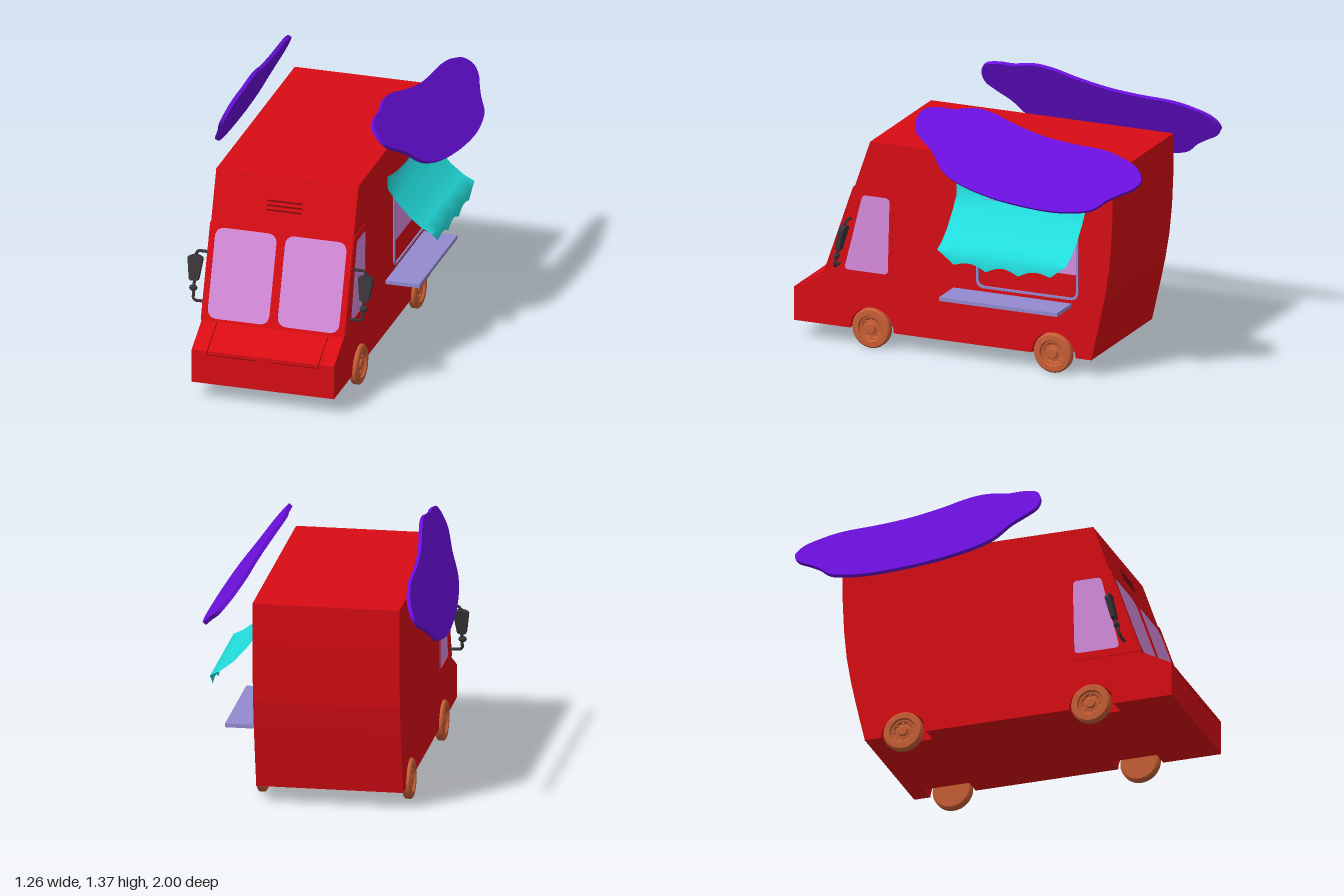
import * as THREE from 'three';

const mat = (color, side = THREE.FrontSide) => new THREE.MeshStandardMaterial({ color, side });
const RED = mat(0xd80c14), SEAM = mat(0x7a060a), GLASS = mat(0xd68cdc), LILAC = mat(0x938ad0);
const PURPLE = mat(0x6a0fdc), TEAL = mat(0x22dcdc, THREE.DoubleSide), ORANGE = mat(0xc85f35), DARK = mat(0x3a3438);
const HALF = 0.38; // half width of the body

function add(parent, name, geometry, material, x = 0, y = 0, z = 0) {
  const mesh = new THREE.Mesh(geometry, material);
  mesh.name = name;
  mesh.position.set(x, y, z);
  parent.add(mesh);
  return mesh;
}

// Closed polygon with rounded corners
function rounded(points, r, Type = THREE.Shape) {
  const path = new Type();
  const p = points.map(([x, y]) => new THREE.Vector2(x, y));
  p.forEach((c, i) => {
    const prev = p[(i + p.length - 1) % p.length], next = p[(i + 1) % p.length];
    const a = c.clone().add(prev.clone().sub(c).setLength(r));
    const b = c.clone().add(next.clone().sub(c).setLength(r));
    if (i === 0) path.moveTo(a.x, a.y); else path.lineTo(a.x, a.y);
    path.quadraticCurveTo(c.x, c.y, b.x, b.y);
  });
  path.closePath();
  return path;
}
const rect = (x0, x1, y0, y1) => [[x0, y0], [x1, y0], [x1, y1], [x0, y1]];
const extrude = (shape, depth) => new THREE.ExtrudeGeometry(shape, { depth, bevelEnabled: false, curveSegments: 12 });
// Shape drawn in (z, y), thickness centred across x
const sideways = (shape, depth) => extrude(shape, depth).translate(0, 0, -depth / 2).rotateY(-Math.PI / 2);

const WHEEL_Z = [0.565, -0.45];

function bodyShape(arches) {
  const s = new THREE.Shape();
  s.moveTo(1, 0.09);
  [[1, 0.27], [0.83, 0.36], [0.575, 1.1], [-0.78, 1.1], [-0.78, 0.9], [-0.772, 0.72],
    [-0.758, 0.57], [-0.735, 0.43], [-0.71, 0.31], [-0.66, 0.09]].forEach(([z, y]) => s.lineTo(z, y));
  if (arches) [...WHEEL_Z].reverse().forEach(z => {
    s.lineTo(z - 0.122, 0.09);
    s.absarc(z, 0.09, 0.122, Math.PI, 0, true);
  });
  s.closePath();
  return s;
}

function buildBody(g) {
  // Core and two outer layers with wheel wells
  add(g, 'bodyCore', sideways(bodyShape(false), 0.56), RED);
  for (const s of [-1, 1]) add(g, 'bodySide', sideways(bodyShape(true), 0.1), RED, s * 0.33);

  // Windscreen frame and panes, lying on the sloped front
  const front = new THREE.Group();
  front.name = 'windscreen';
  front.position.set(0, 0.36, 0.83);
  front.rotation.x = -Math.atan2(0.255, 0.74);
  g.add(front);
  const frame = rounded(rect(-HALF - 0.003, HALF + 0.003, 0, 0.513), 0.01);
  for (const s of [-1, 1]) {
    const pane = rect(s > 0 ? 0.022 : -0.352, s > 0 ? 0.352 : -0.022, 0.017, 0.486);
    frame.holes.push(rounded(pane, 0.055, THREE.Path));
    add(front, 'windscreenPane', extrude(rounded(pane, 0.055), 0.003), GLASS);
  }
  add(front, 'windscreenFrame', extrude(frame, 0.007), RED);
  for (let i = 0; i < 3; i++)
    add(front, 'vent', new THREE.BoxGeometry(0.185, 0.008, 0.008), SEAM, 0, 0.605 + i * 0.024, 0);

  // Hood seam lines
  for (const s of [-1, 1]) {
    const pts = [[0.297, 0.357, 0.836], [0.297, 0.27, 1], [0.297, 0.255, 1], [0.285, 0.25, 1], [0.035, 0.25, 1]];
    const path = new THREE.CurvePath();
    for (let i = 1; i < pts.length; i++)
      path.add(new THREE.LineCurve3(...[pts[i - 1], pts[i]].map(([x, y, z]) => new THREE.Vector3(s * x, y, z))));
    add(g, 'hoodSeam', new THREE.TubeGeometry(path, 40, 0.002, 5), SEAM);
  }

  // Cab side windows with frames
  const win = [[0.72, 0.4], [0.618, 0.81], [0.465, 0.81], [0.475, 0.4]];
  for (const s of [-1, 1]) {
    const sideFrame = rounded([[0.825, 0.36], [0.662, 0.845], [0.44, 0.845], [0.46, 0.36]], 0.025);
    sideFrame.holes.push(rounded(win, 0.025, THREE.Path));
    add(g, 'sideWindowFrame', sideways(sideFrame, 0.008), RED, s * HALF);
    add(g, 'sideWindowPane', sideways(rounded(win, 0.025), 0.004), GLASS, s * HALF);
  }
}

function buildHatch(g) {
  // Service window, counter and awning on the left side
  const outer = rounded(rect(-0.59, -0.02, 0.4, 0.88), 0.045);
  outer.holes.push(rounded(rect(-0.578, -0.032, 0.412, 0.868), 0.04, THREE.Path));
  add(g, 'serviceWindowFrame', sideways(outer, 0.016), LILAC, HALF);
  add(g, 'serviceWindowPane', sideways(rounded(rect(-0.579, -0.031, 0.535, 0.869), 0.01), 0.006), GLASS, HALF);
  add(g, 'counter', new THREE.BoxGeometry(0.18, 0.02, 0.66), LILAC, HALF + 0.09, 0.37, -0.22);

  const rows = [[0.384, 0.95], [0.386, 0.88], [0.43, 0.82], [0.5, 0.74], [0.57, 0.685], [0.622, 0.66], [0.625, 0.57]];
  const cols = 48;
  const cloth = new THREE.PlaneGeometry(1, 1, cols, rows.length - 1);
  const pos = cloth.attributes.position;
  for (let i = 0; i < pos.count; i++) {
    const row = Math.floor(i / (cols + 1));
    const s = (i % (cols + 1)) / cols * 2 - 1;
    let [x, y] = rows[row];
    if (row === 0) y -= 0.05 * (1 - s * s); // sagging top edge
    if (row === rows.length - 1) y = 0.57 + 0.03 * Math.abs(Math.cos(2 * Math.PI * s)) + 0.055 * s ** 4; // scallops
    pos.setXYZ(i, x, y, -0.27 - 0.36 * s);
  }
  cloth.computeVertexNormals();
  add(g, 'awning', cloth, TEAL);
}

function buildWheel(g, side, z) {
  const wheel = new THREE.Group();
  wheel.name = 'wheel';
  wheel.position.set(side * 0.377, 0.105, z);
  wheel.rotation.z = -side * Math.PI / 2; // local +y points outward
  g.add(wheel);
  const profile = [[0, -0.022], [0.095, -0.022], [0.105, -0.014], [0.105, 0.014], [0.097, 0.022], [0.07, 0.023],
    [0.064, 0.012], [0.056, 0.012], [0.045, 0.004], [0.026, 0.008], [0.022, 0.018], [0, 0.018]];
  // Doubled points keep the tyre edges crisp
  const pts = profile.flatMap(([r, y]) => [new THREE.Vector2(r, y), new THREE.Vector2(r, y)]);
  add(wheel, 'tyre', new THREE.LatheGeometry(pts, 40), ORANGE);
  for (let i = 0; i < 8; i++) {
    const a = i * Math.PI / 4;
    add(wheel, 'rimBolt', new THREE.CylinderGeometry(0.006, 0.006, 0.012, 8), ORANGE,
      0.046 * Math.cos(a), 0.008, 0.046 * Math.sin(a));
  }
}

function buildMirror(g, side) {
  const mirror = new THREE.Group();
  mirror.name = 'wingMirror';
  mirror.position.set(side * HALF, 0.43, 0.745);
  mirror.rotation.x = -0.25;
  g.add(mirror);
  const arm = [[-0.01, 0], [0.06, 0], [0.072, 0.012], [0.072, 0.246], [0.06, 0.258], [-0.01, 0.258]];
  const path = new THREE.CurvePath();
  for (let i = 1; i < arm.length; i++)
    path.add(new THREE.LineCurve3(...[arm[i - 1], arm[i]].map(([x, y]) => new THREE.Vector3(side * x, y, 0))));
  add(mirror, 'mirrorArm', new THREE.TubeGeometry(path, 60, 0.008, 8), DARK);
  const head = rounded([[-0.024, 0], [0.024, 0], [0.041, 0.125], [0, 0.14], [-0.041, 0.125]], 0.014);
  add(mirror, 'mirrorHead', extrude(head, 0.026), DARK, side * 0.075, 0.1, -0.015);
  const knob = add(mirror, 'mirrorKnob', new THREE.SphereGeometry(0.022, 16, 10), DARK, side * 0.075, 0.063, 0);
  knob.scale.set(1, 0.75, 0.7);
}

function buildSigns(g) {
  // Wavy long signs above each side; outline in (z, height in plane)
  const outline = [[0.305, 1.265], [0.28, 1.31], [0.2, 1.328], [0.12, 1.328], [0, 1.345], [-0.1, 1.335], [-0.23, 1.3],
    [-0.39, 1.267], [-0.55, 1.25], [-0.765, 1.238], [-0.87, 1.215], [-0.96, 1.18], [-0.997, 1.13], [-0.97, 1.09],
    [-0.91, 1.06], [-0.845, 1.025], [-0.78, 0.977], [-0.685, 0.955], [-0.55, 0.945], [-0.34, 0.955], [-0.18, 0.975],
    [-0.02, 1.01], [0.09, 1.055], [0.17, 1.13], [0.25, 1.18], [0.295, 1.215]];
  const curve = new THREE.CatmullRomCurve3(
    outline.map(([z, y]) => new THREE.Vector3(z, (y - 0.945) * 1.25, 0)), true);
  const shape = new THREE.Shape(curve.getPoints(130).slice(0, -1).map(p => new THREE.Vector2(p.x, p.y)));
  const geometry = sideways(shape, 0.02);
  add(g, 'leftSign', geometry, PURPLE, 0.621, 0.951, 0).rotation.z = Math.atan2(0.32, 0.39);
  add(g, 'rightSign', geometry, PURPLE, -0.618, 0.918, 0).rotation.z = -Math.atan2(0.215, 0.45);
}

export function createModel() {
  const model = new THREE.Group();
  model.name = 'foodTruck';
  const truck = new THREE.Group();
  truck.name = 'truck';
  truck.position.x = -0.03;
  model.add(truck);
  buildBody(truck);
  buildHatch(truck);
  for (const side of [-1, 1]) {
    WHEEL_Z.forEach(z => buildWheel(truck, side, z));
    buildMirror(truck, side);
  }
  buildSigns(model);
  return model;
}
